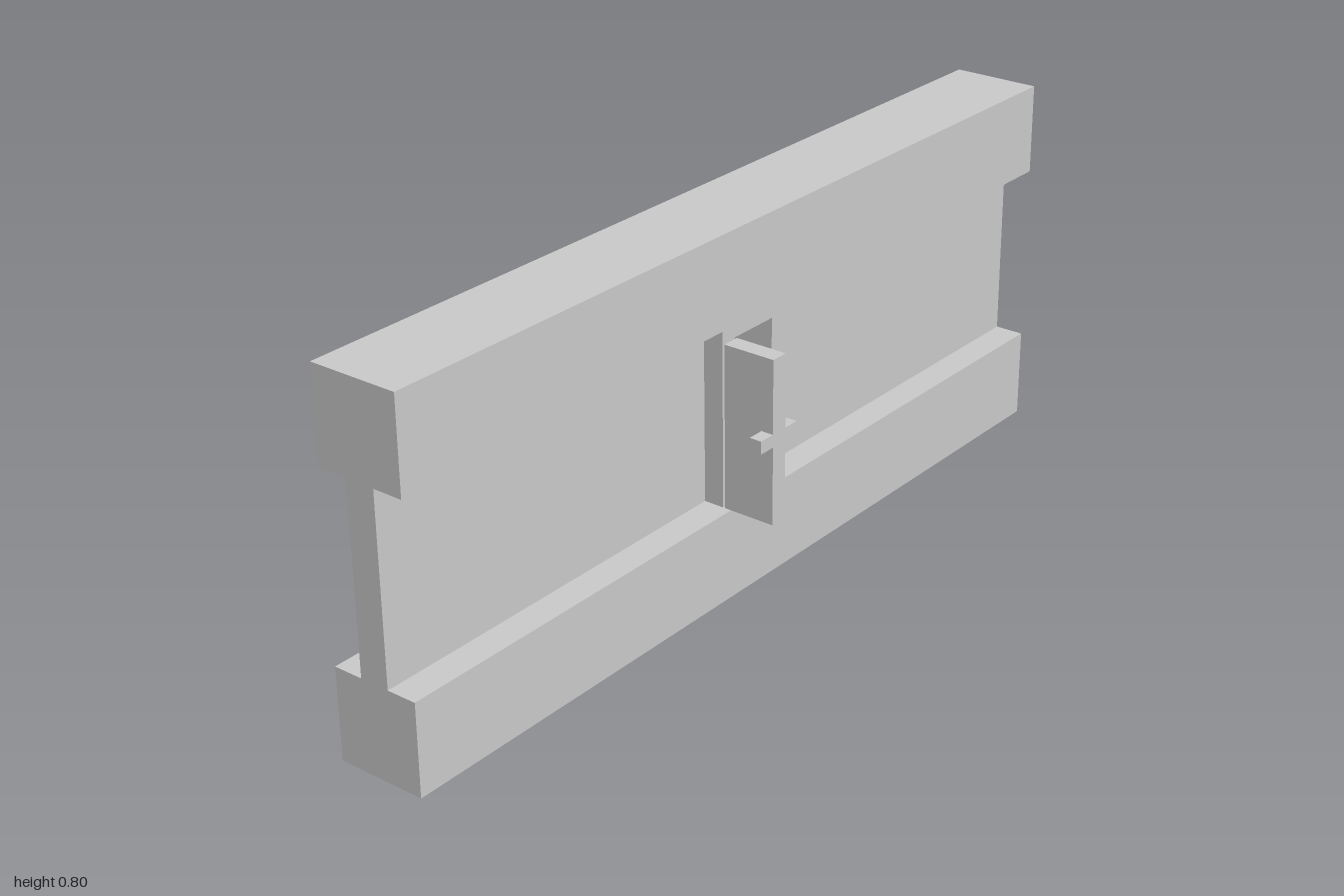
import * as THREE from 'three';

const material = new THREE.MeshStandardMaterial({ color: 0xcccccc, flatShading: true });

// Box given by its extents along each axis
function block(name, [x0, x1], [y0, y1], [z0, z1]) {
  const mesh = new THREE.Mesh(new THREE.BoxGeometry(x1 - x0, y1 - y0, z1 - z0), material);
  mesh.position.set((x0 + x1) / 2, (y0 + y1) / 2, (z0 + z1) / 2);
  mesh.name = name;
  return mesh;
}

export function createModel() {
  const model = new THREE.Group();
  model.name = 'wallWithDoor';

  // Thick rails along the bottom and top
  const railX = [-0.151, 0.047];
  model.add(block('bottomRail', railX, [0, 0.2], [-1, 1]));
  model.add(block('topRail', railX, [0.6, 0.8], [-1, 1]));

  // Thin wall panels on either side of the doorway
  const panelX = [-0.085, -0.019];
  model.add(block('frontPanel', panelX, [0.2, 0.6], [0.1, 1]));
  model.add(block('backPanel', panelX, [0.2, 0.6], [-1, -0.1]));

  // Door frame: one piece, two posts joined by a lintel
  const outline = new THREE.Shape([
    [-0.1, 0.2], [-0.06, 0.2], [-0.06, 0.56], [0.06, 0.56],
    [0.06, 0.2], [0.1, 0.2], [0.1, 0.6], [-0.1, 0.6],
  ].map(([x, y]) => new THREE.Vector2(x, y)));
  const frameGeometry = new THREE.ExtrudeGeometry(outline, { depth: 0.156, bevelEnabled: false });
  frameGeometry.rotateY(Math.PI / 2);
  const frame = new THREE.Mesh(frameGeometry, material);
  frame.position.x = -0.129;
  frame.name = 'doorFrame';
  model.add(frame);

  // Door swung open at a right angle, with a handle on both faces
  const door = new THREE.Group();
  door.name = 'openDoor';
  door.add(block('doorLeaf', [0.032, 0.151], [0.2, 0.56], [0.06, 0.1]));
  door.add(block('frontHandle', [0.123, 0.151], [0.372, 0.4], [0.1, 0.138]));
  door.add(block('backHandle', [0.123, 0.151], [0.372, 0.4], [0.022, 0.06]));
  model.add(door);

  return model;
}
